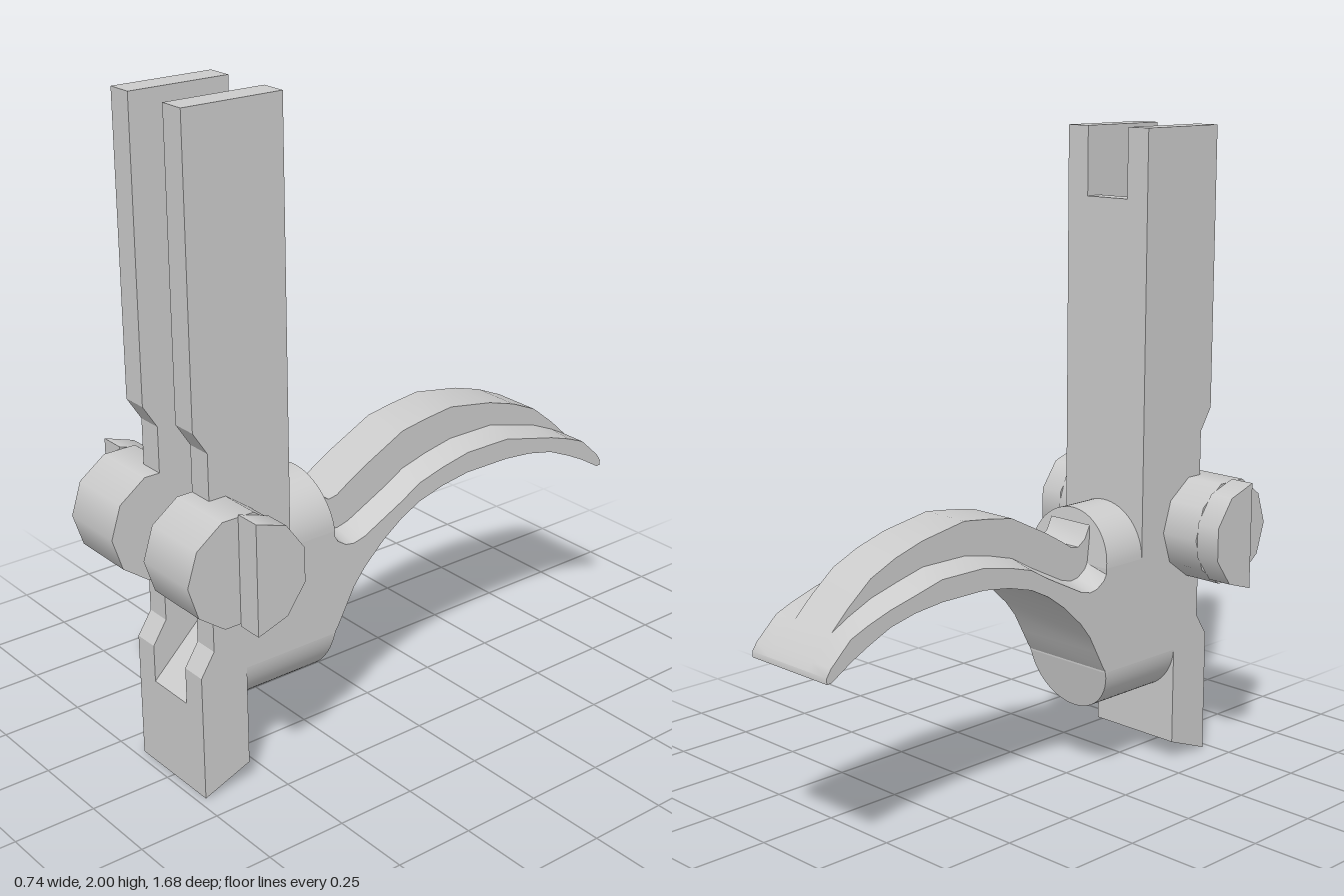
import * as THREE from 'three';
import { toCreasedNormals } from 'three/addons/utils/BufferGeometryUtils.js';

const material = new THREE.MeshStandardMaterial({ color: 0xcccccc });

function add(group, name, geometry, x = 0, y = 0, z = 0) {
  const mesh = new THREE.Mesh(geometry, material);
  mesh.name = name;
  mesh.position.set(x, y, z);
  group.add(mesh);
  return mesh;
}

// Extrudes a side profile of [z, y] points across x, centred on x = 0.
function sidePlate(points, width) {
  const shape = new THREE.Shape(points.map(([z, y]) => new THREE.Vector2(z, y)));
  return new THREE.ExtrudeGeometry(shape, { depth: width, bevelEnabled: false })
    .translate(0, 0, -width / 2)
    .rotateY(-Math.PI / 2);
}

// Half-round boss along z; its rear end leans with height.
function halfRound(y, start, zFront, zRear, lean) {
  const shape = new THREE.Shape();
  shape.absarc(0, 0, 0.16, start, start + Math.PI, false);
  const geometry = new THREE.ExtrudeGeometry(shape, { depth: zFront - zRear, bevelEnabled: false, curveSegments: 16 });
  geometry.translate(0, 0, zRear);
  const p = geometry.attributes.position;
  for (let i = 0; i < p.count; i++) {
    if (p.getZ(i) < zRear + 0.001) p.setZ(i, zRear + Math.abs(p.getY(i)) * lean);
  }
  geometry.translate(0, y, 0);
  return toCreasedNormals(geometry, 0.6);
}

// Curved lever lofted from stepped sections: wide base with a narrower raised rib.
function leverGeometry() {
  // z, underside, ledge, rib top
  const stations = [
    [0.26, 0.36, 0.72, 0.82], [0.24, 0.39, 0.685, 0.78], [0.21, 0.445, 0.665, 0.76],
    [0.18, 0.50, 0.66, 0.765], [0.14, 0.55, 0.67, 0.79], [0.07, 0.615, 0.705, 0.83],
    [0, 0.665, 0.74, 0.865], [-0.07, 0.70, 0.78, 0.90], [-0.16, 0.725, 0.805, 0.915],
    [-0.26, 0.74, 0.825, 0.927], [-0.42, 0.74, 0.825, 0.90], [-0.52, 0.73, 0.80, 0.87],
    [-0.61, 0.71, 0.775, 0.83], [-0.69, 0.675, 0.74, 0.765], [-0.75, 0.645, 0.708, 0.708],
    [-0.82, 0.603, 0.643, 0.643], [-0.835, 0.603, 0.62, 0.62],
  ];
  const positions = [], index = [];
  for (const [z, low, ledge, top] of stations) {
    const outer = ledge - Math.min(0.02, (top - ledge) * 0.3);
    const half = [[0.16, low], [0.16, outer], [0.08, ledge], [0.08, top]];
    const ring = [...half, ...half.map(([x, y]) => [-x, y]).reverse()];
    for (const [x, y] of ring) positions.push(x, y, z);
  }
  const n = 8, last = (stations.length - 1) * n;
  for (let i = 0; i < last; i += n) {
    for (let j = 0; j < n; j++) {
      const a = i + j, b = i + (j + 1) % n;
      index.push(a, a + n, b + n, a, b + n, b);
    }
  }
  // rear tip cap
  index.push(last, last + 7, last + 6, last, last + 6, last + 1);
  const geometry = new THREE.BufferGeometry();
  geometry.setAttribute('position', new THREE.Float32BufferAttribute(positions, 3));
  geometry.setIndex(index);
  return toCreasedNormals(geometry.toNonIndexed(), 0.6);
}

export function createModel() {
  const model = new THREE.Group();
  model.name = 'forkedLever';

  // Shared outline below the fork: rear neck, heel and foot
  const lower = [[0.41, 0.70], [0.25, 0.70], [0.25, 0.37], [0.57, 0.37], [0.57, 0.06], [0.725, 0]];

  // Two cheeks of the upright
  const cheek = [...lower, [0.725, 0.39], [0.68, 0.46], [0.68, 1.06], [0.725, 1.13], [0.725, 2], [0.41, 2]];
  for (const side of [-1, 1]) {
    add(model, side > 0 ? 'leftCheek' : 'rightCheek', sidePlate(cheek, 0.08), side * 0.12);
  }

  // Web closing the back of the slot, with a sloped slot floor
  add(model, 'slotWeb', sidePlate([...lower, [0.725, 0.275], [0.47, 0.52], [0.47, 1.79], [0.41, 1.79]], 0.16));

  // Rounded top and bottom of the rear boss
  add(model, 'bossTop', halfRound(0.70, 0, 0.43, 0.25, 0.12));
  add(model, 'bossBottom', halfRound(0.38, Math.PI, 0.57, 0.25, 0.2));

  add(model, 'curvedLever', leverGeometry());

  // Ten-sided pivots with half-cut outer ends
  const r = 0.167, pivotY = 0.762, pivotZ = 0.677;
  for (const side of [-1, 1]) {
    const pivot = new THREE.Group();
    pivot.name = side > 0 ? 'leftPivot' : 'rightPivot';
    pivot.position.set(0, pivotY, pivotZ);
    const drum = new THREE.CylinderGeometry(r, r, 0.21, 10).rotateZ(Math.PI / 2);
    add(pivot, 'pivotDrum', drum, side * 0.185);
    const end = new THREE.CylinderGeometry(r, r, 0.08, 5, 1, false, Math.PI / 2, Math.PI).rotateZ(Math.PI / 2);
    add(pivot, 'pivotHalfEnd', end, side * 0.33);
    add(pivot, 'pivotFlat', new THREE.PlaneGeometry(0.08, 2 * r), side * 0.33);
    model.add(pivot);
  }
  return model;
}
